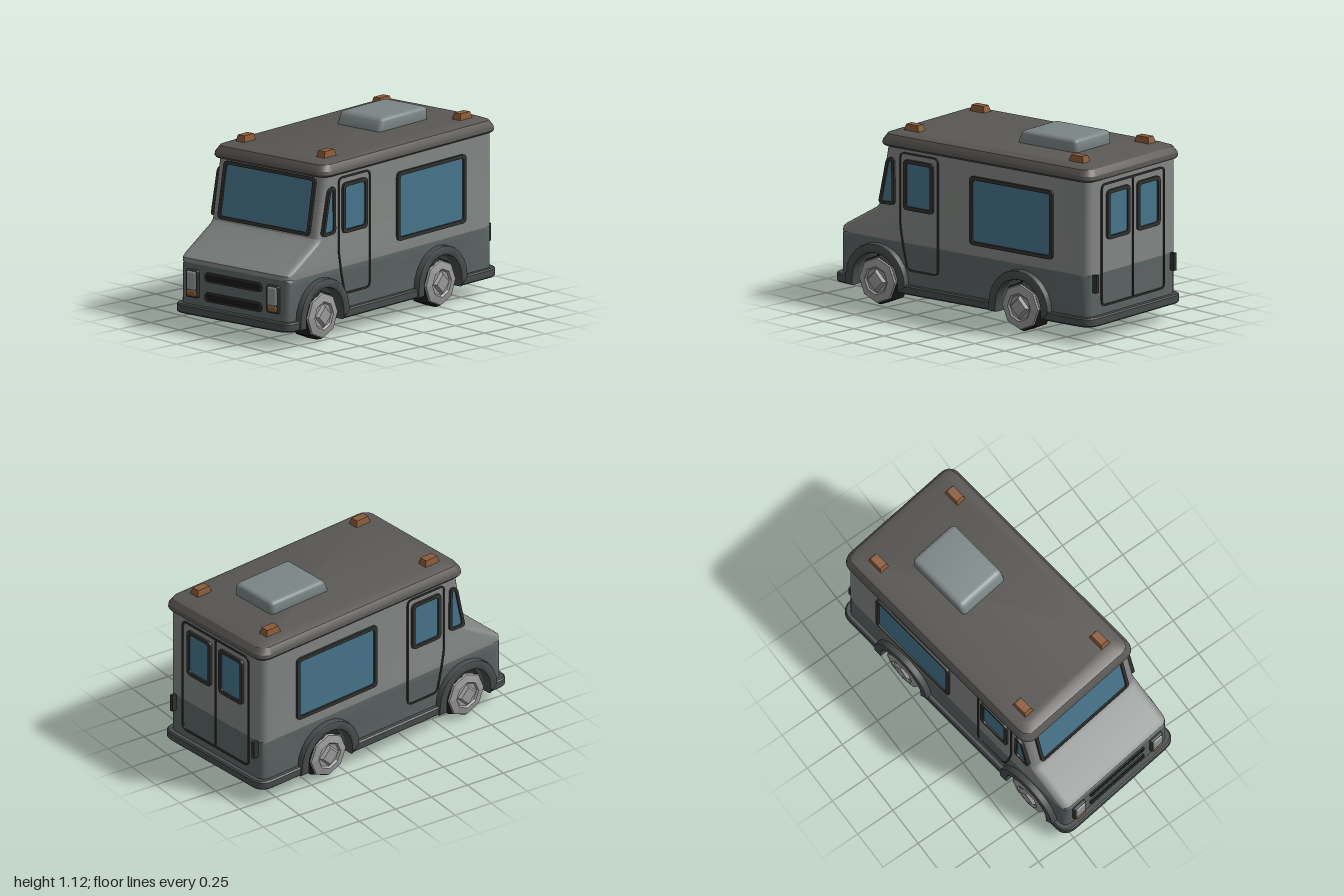
import * as THREE from 'three';
import { toCreasedNormals } from 'three/addons/utils/BufferGeometryUtils.js';
import { RoundedBoxGeometry } from 'three/addons/geometries/RoundedBoxGeometry.js';

const mat = (color, opts = {}) => new THREE.MeshStandardMaterial({ color, ...opts });
const M = {
  body: mat(0x838684), lower: mat(0x5c6464), roof: mat(0x595754), skirt: mat(0x474b4b),
  trim: mat(0x30322f), glass: mat(0x47748c), vent: mat(0x7b8585), amber: mat(0x8a5a38),
  lens: mat(0x8f9696), black: mat(0x181818), tyre: mat(0x1c1c1c, { flatShading: true }),
  hub: mat(0x9a9a9a, { flatShading: true }),
};
const WHEELS = [0.63, -0.43], AXLE = 0.15, HALF = 0.412;

function add(parent, name, geometry, material, x = 0, y = 0, z = 0) {
  const mesh = new THREE.Mesh(geometry, material);
  mesh.name = name;
  mesh.position.set(x, y, z);
  parent.add(mesh);
  return mesh;
}

// Closed outline with rounded corners; a point may carry its own radius
function outline(points, radius, Type = THREE.Shape) {
  const shape = new Type(), n = points.length;
  points.forEach((p, i) => {
    const v = new THREE.Vector2(p[0], p[1]), r = p[2] ?? radius;
    const toward = q => {
      const d = new THREE.Vector2(q[0], q[1]).sub(v);
      return d.setLength(Math.min(r, d.length() * 0.49)).add(v);
    };
    const a = toward(points[(i + n - 1) % n]), b = toward(points[(i + 1) % n]);
    if (i) shape.lineTo(a.x, a.y); else shape.moveTo(a.x, a.y);
    shape.quadraticCurveTo(v.x, v.y, b.x, b.y);
  });
  shape.closePath();
  return shape;
}

// Moves every edge of a counter-clockwise convex outline inward by d
function inset(points, d) {
  const n = points.length;
  return points.map((p, i) => {
    const a = points[(i + n - 1) % n], b = points[(i + 1) % n];
    const u = new THREE.Vector2(p[0] - a[0], p[1] - a[1]).normalize();
    const v = new THREE.Vector2(b[0] - p[0], b[1] - p[1]).normalize();
    const k = d / (1 + u.dot(v));
    return [p[0] - (u.y + v.y) * k, p[1] + (u.x + v.x) * k];
  });
}

const rect = (x0, x1, y0, y1) => [[x0, y0], [x1, y0], [x1, y1], [x0, y1]];
const extrude = (shape, depth, bevel = 0, segments = 1) => toCreasedNormals(new THREE.ExtrudeGeometry(shape, {
  depth: depth - 2 * bevel, bevelEnabled: bevel > 0, bevelSize: bevel, bevelThickness: bevel,
  bevelOffset: -bevel, bevelSegments: segments, curveSegments: 6,
}).translate(0, 0, bevel), 0.6);

// Raised border around an outline, optionally glazed
function panel(parent, name, points, { border = 0.022, r = 0.03, rise = 0.014, glazed = true } = {}) {
  if (THREE.ShapeUtils.isClockWise(points.map(p => new THREE.Vector2(...p)))) points = [...points].reverse();
  const inner = inset(points, border), ring = outline(points, r);
  ring.holes.push(outline(inner, r * 0.7, THREE.Path));
  add(parent, name + 'Frame', extrude(ring, rise + 0.01), M.trim, 0, 0, -0.01);
  if (glazed) add(parent, name + 'Glass', extrude(outline(inset(points, border * 0.7), r * 0.7), 0.014), M.glass, 0, 0, -0.01);
}

// Skin over rounded-rectangle rings [y, halfWidth, front, back, radius]
function loft(rings, steps = 5) {
  const pos = [], idx = [], n = 4 * (steps + 1);
  for (const [y, w, zf, zb, r] of rings) {
    for (let c = 0; c < 4; c++) for (let s = 0; s <= steps; s++) {
      const t = (c + s / steps) * Math.PI / 2;
      const cx = c === 0 || c === 3 ? w - r : r - w, cz = c < 2 ? zf - r : zb + r;
      pos.push(cx + r * Math.cos(t), y, cz + r * Math.sin(t));
    }
  }
  for (let k = 0; k < rings.length - 1; k++) for (let i = 0; i < n; i++) {
    const a = k * n + i, b = k * n + (i + 1) % n;
    idx.push(a, a + n, b, b, a + n, b + n);
  }
  const top = (rings.length - 1) * n;
  for (let i = 1; i < n - 1; i++) idx.push(0, i, i + 1, top, top + i + 1, top + i);
  const g = new THREE.BufferGeometry();
  g.setAttribute('position', new THREE.Float32BufferAttribute(pos, 3));
  g.setIndex(idx);
  return toCreasedNormals(g, 0.45);
}

// Side outline of the lower body with both wheel openings
function lowerBody() {
  const s = new THREE.Shape(), r = 0.16;
  s.moveTo(-0.92, 0.11);
  for (const z of [...WHEELS].reverse()) {
    s.lineTo(z - r, 0.11);
    s.absarc(z, AXLE, r, Math.PI, 0, true);
    s.lineTo(z + r, 0.11);
  }
  s.lineTo(0.92, 0.11); s.lineTo(0.92, 0.4); s.lineTo(0.8, 0.45);
  s.lineTo(-0.85, 0.45); s.lineTo(-0.92, 0.4); s.closePath();
  return extrude(s, 2 * HALF, 0.05, 4).translate(0, 0, -HALF).rotateY(-Math.PI / 2);
}

// Floor and bumper strip, notched around the wheels
function skirt() {
  const half = [[0.44, -0.955, 0.09]];
  for (const z of [...WHEELS].reverse())
    half.push([0.44, z - 0.17, 0.01], [0.27, z - 0.17, 0.01], [0.27, z + 0.17, 0.01], [0.44, z + 0.17, 0.01]);
  half.push([0.44, 0.955, 0.09]);
  const other = [...half].reverse().map(([x, z, r]) => [-x, z, r]);
  return extrude(outline([...half, ...other], 0.02), 0.055, 0.008).rotateX(Math.PI / 2).translate(0, 0.155, 0);
}

function arch(u) {
  const s = new THREE.Shape();
  s.moveTo(u + 0.225, 0.1);
  s.absarc(u, AXLE, 0.222, 0, Math.PI, false);
  s.lineTo(u - 0.225, 0.1); s.lineTo(u - 0.165, 0.1);
  s.absarc(u, AXLE, 0.165, Math.PI, 0, true);
  s.lineTo(u + 0.165, 0.1); s.closePath();
  return extrude(s, 0.1, 0.012, 2);
}

const lathe = (pts, n) => new THREE.LatheGeometry(pts.map(p => new THREE.Vector2(...p)), n);

function wheel(s, z) {
  const g = new THREE.Group();
  g.name = 'wheel';
  add(g, 'tyre', lathe([[0, -0.07], [0.11, -0.07], [0.15, -0.045], [0.15, 0.03], [0.138, 0.06], [0, 0.06]], 8), M.tyre);
  add(g, 'rim', lathe([[0.139, 0.055], [0.132, 0.07], [0.085, 0.08], [0.075, 0.07], [0, 0.07]], 8), M.hub);
  add(g, 'hubCap', lathe([[0.075, 0.065], [0.055, 0.088], [0, 0.088]], 4), M.hub);
  g.rotation.z = -s * Math.PI / 2;
  g.position.set(s * 0.36, AXLE, z);
  return g;
}

// Windows, door and wheels of one side (s = +1 left, -1 right)
function side(s) {
  const g = new THREE.Group(), wall = new THREE.Group();
  g.name = s > 0 ? 'leftSide' : 'rightSide';
  wall.name = 'wallDetails';
  wall.rotation.y = s * Math.PI / 2;
  wall.position.x = s * HALF;
  const flip = pts => pts.map(([z, y]) => [-s * z, y]);
  panel(wall, 'servingWindow', flip(rect(-0.665, -0.05, 0.465, 0.875)));
  panel(wall, 'doorWindow', flip(rect(0.22, 0.44, 0.6, 0.9)));
  panel(wall, 'quarterWindow', flip([[0.625, 0.61], [0.505, 0.615], [0.51, 0.9], [0.565, 0.89]]), { border: 0.018 });
  panel(wall, 'door', flip([[0.475, 0.94], [0.185, 0.94], [0.185, 0.235], [0.42, 0.235], [0.45, 0.36], [0.475, 0.5]]),
    { border: 0.011, r: 0.04, rise: 0.006, glazed: false });
  for (const z of WHEELS) {
    add(wall, 'wheelArch', arch(-s * z), M.skirt, 0, 0, -0.06);
    g.add(wheel(s, z));
  }
  g.add(wall);
  return g;
}

export function createModel() {
  const model = new THREE.Group(), van = new THREE.Group();
  model.name = 'deliveryVan';
  van.name = 'van';
  model.add(van);

  // Shell
  add(van, 'lowerBody', lowerBody(), M.lower);
  add(van, 'upperBody', loft([
    [0.4, HALF, 0.92, -0.92, 0.05], [0.425, HALF, 0.918, -0.92, 0.05], [0.445, HALF, 0.895, -0.92, 0.05],
    [0.575, HALF, 0.672, -0.92, 0.05], [0.6, HALF, 0.649, -0.92, 0.05], [0.98, HALF, 0.578, -0.92, 0.05],
  ]), M.body);
  add(van, 'roof', loft([
    [0.962, 0.428, 0.617, -0.942, 0.07], [0.972, 0.435, 0.622, -0.947, 0.07], [0.995, 0.432, 0.618, -0.945, 0.07],
    [1.03, 0.41, 0.595, -0.922, 0.06], [1.048, 0.365, 0.55, -0.88, 0.05],
  ]), M.roof);
  add(van, 'skirt', skirt(), M.skirt);
  add(van, 'chassis', new THREE.BoxGeometry(0.55, 0.29, 1.76), M.black, 0, 0.247, 0);
  for (const s of [1, -1]) van.add(side(s));

  // Windscreen
  const screen = new THREE.Group();
  screen.name = 'windscreen';
  screen.position.set(0, 0.78, 0.615);
  screen.rotation.x = -Math.atan2(0.071, 0.38);
  panel(screen, 'windscreen', rect(-0.347, 0.347, -0.172, 0.17), { border: 0.02 });
  van.add(screen);

  // Nose: grille slots and headlamps
  const nose = new THREE.Group();
  nose.name = 'nose';
  nose.position.z = 0.92;
  for (const y of [0.335, 0.218]) {
    panel(nose, 'grille', rect(-0.215, 0.215, y - 0.028, y + 0.028), { border: 0.01, r: 0.025, rise: 0.008, glazed: false });
    add(nose, 'grilleSlot', extrude(outline(rect(-0.21, 0.21, y - 0.024, y + 0.024), 0.02), 0.012), M.black, 0, 0, -0.01);
  }
  for (const s of [1, -1]) {
    add(nose, 'headlampHousing', new RoundedBoxGeometry(0.092, 0.165, 0.04, 2, 0.012), M.trim, s * 0.305, 0.283, 0);
    add(nose, 'headlamp', new RoundedBoxGeometry(0.074, 0.112, 0.04, 2, 0.012), M.lens, s * 0.305, 0.302, 0.009);
    add(nose, 'indicator', new RoundedBoxGeometry(0.074, 0.036, 0.04, 2, 0.01), M.amber, s * 0.305, 0.228, 0.009);
  }
  van.add(nose);

  // Rear doors and tail lamps
  const rear = new THREE.Group();
  rear.name = 'rear';
  rear.rotation.y = Math.PI;
  rear.position.z = -0.92;
  panel(rear, 'rearDoors', rect(-0.295, 0.295, 0.2, 0.93), { border: 0.011, r: 0.04, rise: 0.007, glazed: false });
  add(rear, 'doorSeam', new THREE.BoxGeometry(0.011, 0.71, 0.014), M.trim, 0, 0.565, 0);
  for (const s of [1, -1]) {
    panel(rear, 'rearWindow', rect(s * 0.14 - 0.105, s * 0.14 + 0.105, 0.59, 0.885));
    add(rear, 'tailLamp', new THREE.BoxGeometry(0.022, 0.105, 0.036), M.trim, s * 0.36, 0.35, 0.012);
  }
  van.add(rear);

  // Roof vent with a raked front, and marker lamps
  const vent = new RoundedBoxGeometry(0.33, 0.1, 0.45, 4, 0.028), p = vent.attributes.position;
  for (let i = 0; i < p.count; i++) if (p.getZ(i) > 0) p.setZ(i, p.getZ(i) - 0.04 * (p.getY(i) / 0.05 + 1) / 2);
  vent.computeVertexNormals();
  add(van, 'roofVent', toCreasedNormals(vent, 0.7), M.vent, 0, 1.075, -0.41);
  const lamp = toCreasedNormals(new THREE.CylinderGeometry(0.52, 0.707, 1, 4).rotateY(Math.PI / 4).scale(0.068, 0.05, 0.115), 0.3);
  for (const s of [1, -1]) for (const z of [0.45, -0.77]) add(van, 'markerLamp', lamp, M.amber, s * 0.304, 1.06, z);

  // The van stands turned slightly to its left
  van.rotation.y = 0.131;
  return model;
}
